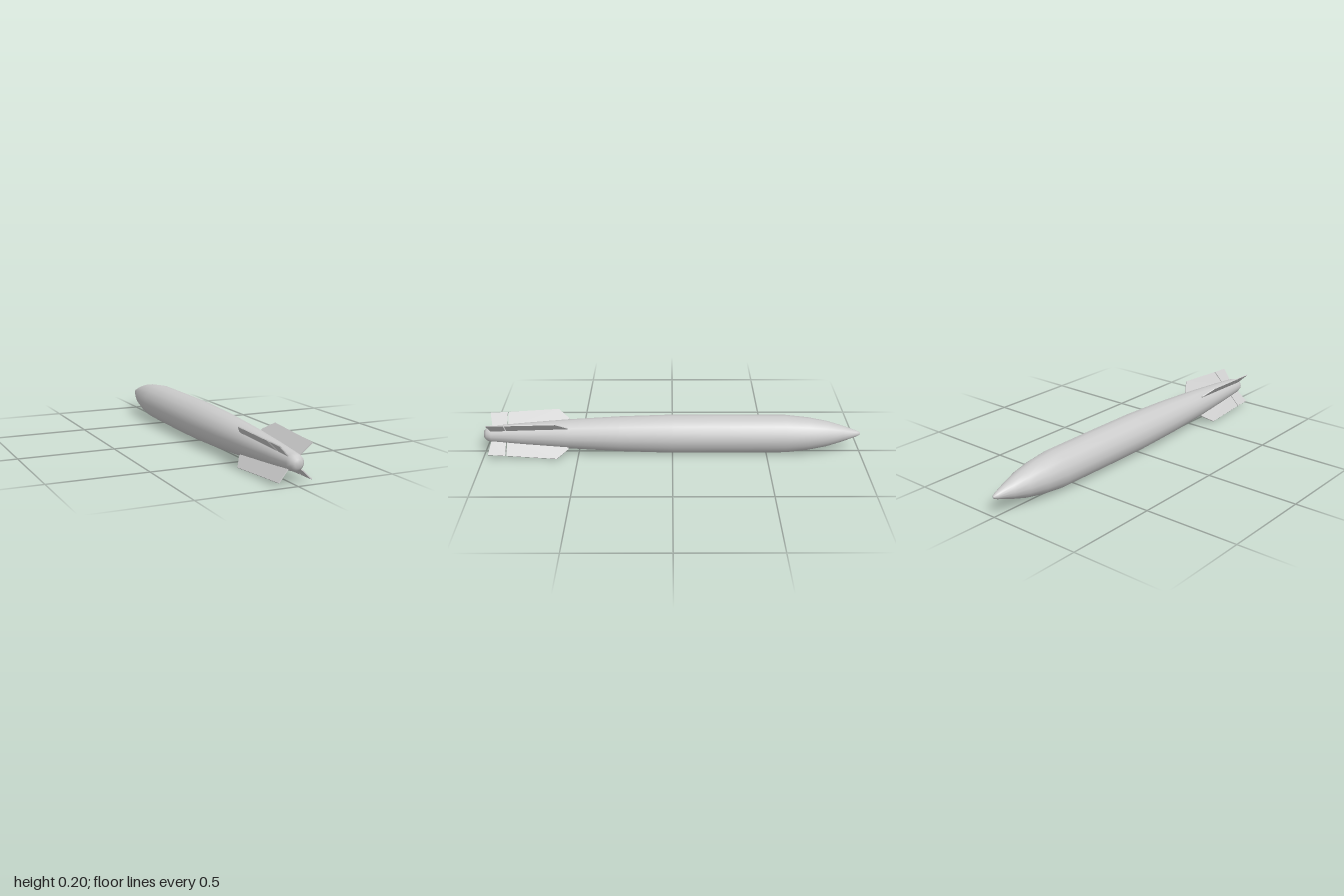
import * as THREE from 'three';

const AXIS_Y = 0.102;
const THICK = 0.005;

// Flat plate from [z, radius] corners, standing upright along the body axis
function plate(corners) {
  const shape = new THREE.Shape(corners.map(([z, r]) => new THREE.Vector2(z, r)));
  const geo = new THREE.ExtrudeGeometry(shape, { depth: THICK, bevelEnabled: false });
  geo.translate(0, 0, -THICK / 2);
  geo.rotateY(-Math.PI / 2);
  return geo;
}

export function createModel() {
  const model = new THREE.Group();
  model.name = 'torpedo';
  const grey = new THREE.MeshStandardMaterial({ color: 0xcccccc });

  // Hull: [z, radius] from pointed nose to blunt tail
  const profile = [
    [-1, 0], [-0.995, 0.008], [-0.98, 0.016], [-0.9, 0.044], [-0.82, 0.068], [-0.72, 0.087],
    [-0.6, 0.1], [-0.3, 0.102], [0, 0.102], [0.28, 0.093], [0.56, 0.077],
    [0.8, 0.058], [0.96, 0.043], [0.985, 0.036], [1, 0.02], [1, 0],
  ];
  const hullGeo = new THREE.LatheGeometry(profile.map(([z, r]) => new THREE.Vector2(r, z)), 16);
  hullGeo.rotateX(Math.PI / 2);
  const hull = new THREE.Mesh(hullGeo, grey);
  hull.name = 'hull';
  hull.position.y = AXIS_Y;
  model.add(hull);

  // Four diagonal tail fins, each with a separate control flap behind it
  const finGeo = plate([[0.55, 0.06], [0.55, 0.087], [0.61, 0.141], [0.877, 0.124], [0.877, 0.035]]);
  const flapGeo = plate([[0.883, 0.046], [0.883, 0.124], [0.975, 0.119], [0.96, 0.04]]);
  for (let i = 0; i < 4; i++) {
    const tailFin = new THREE.Group();
    tailFin.name = 'tailFin' + (i + 1);
    const fin = new THREE.Mesh(finGeo, grey);
    fin.name = 'fin';
    const flap = new THREE.Mesh(flapGeo, grey);
    flap.name = 'controlFlap';
    tailFin.add(fin, flap);
    tailFin.position.y = AXIS_Y;
    tailFin.rotation.z = Math.PI / 4 + (i * Math.PI) / 2;
    model.add(tailFin);
  }
  return model;
}
